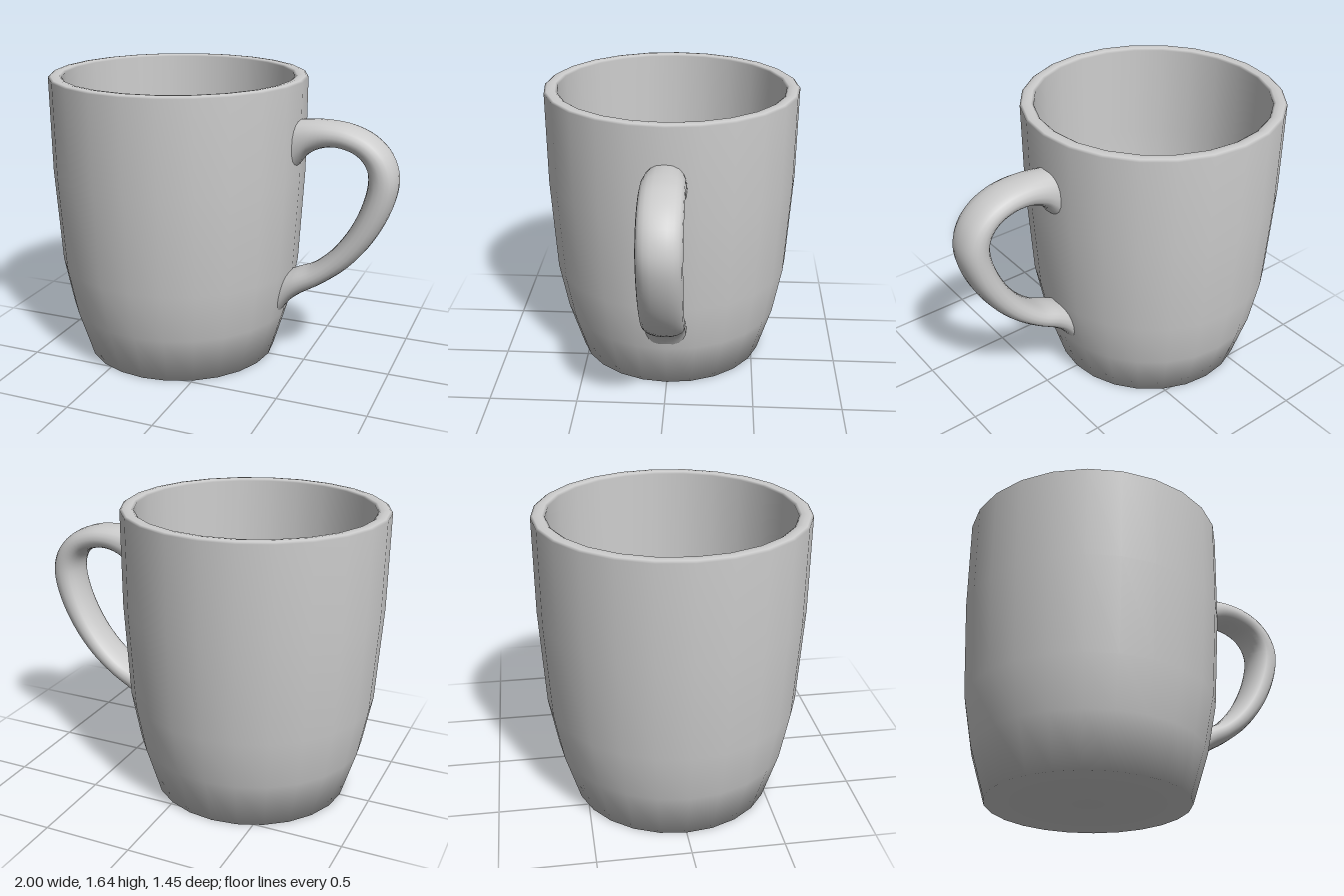
import * as THREE from 'three';

const material = new THREE.MeshStandardMaterial({ color: 0xcccccc });
const AXIS_X = -0.275;

// Cup: one closed profile, up the outside, over the rim and down the inside
function createCup() {
  const profile = [
    [0, 0], [0.555, 0], [0.64, 0.28], [0.692, 0.56], [0.722, 1.1], [0.725, 1.628],
    [0.712, 1.637], [0.688, 1.64], [0.664, 1.637], [0.65, 1.628],
    [0.645, 1.1], [0.615, 0.58], [0.565, 0.31], [0.48, 0.12], [0.3, 0.085], [0, 0.08],
  ].map(([r, y]) => new THREE.Vector2(r, y));
  const cup = new THREE.Mesh(new THREE.LatheGeometry(profile, 24), material);
  cup.name = 'cup';
  cup.position.x = AXIS_X;
  return cup;
}

// Handle: rounded sections spanning an inner and an outer curve
function createHandle() {
  const curve = (pts) => new THREE.CatmullRomCurve3(pts.map(([x, y]) => new THREE.Vector3(x, y, 0)));
  const outer = curve([
    [0.41, 1.425], [0.45, 1.43], [0.52, 1.435], [0.61, 1.435], [0.73, 1.42], [0.86, 1.365], [0.955, 1.27],
    [0.997, 1.14], [0.97, 0.98], [0.88, 0.79], [0.75, 0.625], [0.6, 0.505], [0.48, 0.43], [0.41, 0.37], [0.34, 0.27],
  ]);
  const inner = curve([
    [0.41, 1.13], [0.45, 1.185], [0.5, 1.245], [0.59, 1.29], [0.68, 1.295], [0.77, 1.265], [0.82, 1.21],
    [0.837, 1.14], [0.815, 1.01], [0.745, 0.845], [0.65, 0.71], [0.54, 0.61], [0.45, 0.57], [0.415, 0.555], [0.37, 0.54],
  ]);
  const rings = 56, sides = 20, halfWidth = 0.117;
  const round = (v) => Math.sign(v) * Math.abs(v) ** 0.88;
  const positions = [], index = [];
  for (let i = 0; i <= rings; i++) {
    const o = outer.getPoint(i / rings), n = inner.getPoint(i / rings);
    const centre = o.clone().add(n).multiplyScalar(0.5);
    const reach = o.sub(centre);
    for (let j = 0; j < sides; j++) {
      const angle = (j / sides) * Math.PI * 2;
      const p = centre.clone().addScaledVector(reach, round(Math.cos(angle)));
      positions.push(p.x, p.y, halfWidth * round(Math.sin(angle)));
      if (i === rings) continue;
      const a = i * sides + j, b = i * sides + ((j + 1) % sides);
      index.push(a, b, a + sides, b, b + sides, a + sides);
    }
  }
  const geometry = new THREE.BufferGeometry();
  geometry.setAttribute('position', new THREE.Float32BufferAttribute(positions, 3));
  geometry.setIndex(index);
  geometry.computeVertexNormals();
  const handle = new THREE.Mesh(geometry, material);
  handle.name = 'handle';
  return handle;
}

export function createModel() {
  const mug = new THREE.Group();
  mug.name = 'mug';
  mug.add(createCup(), createHandle());
  return mug;
}
